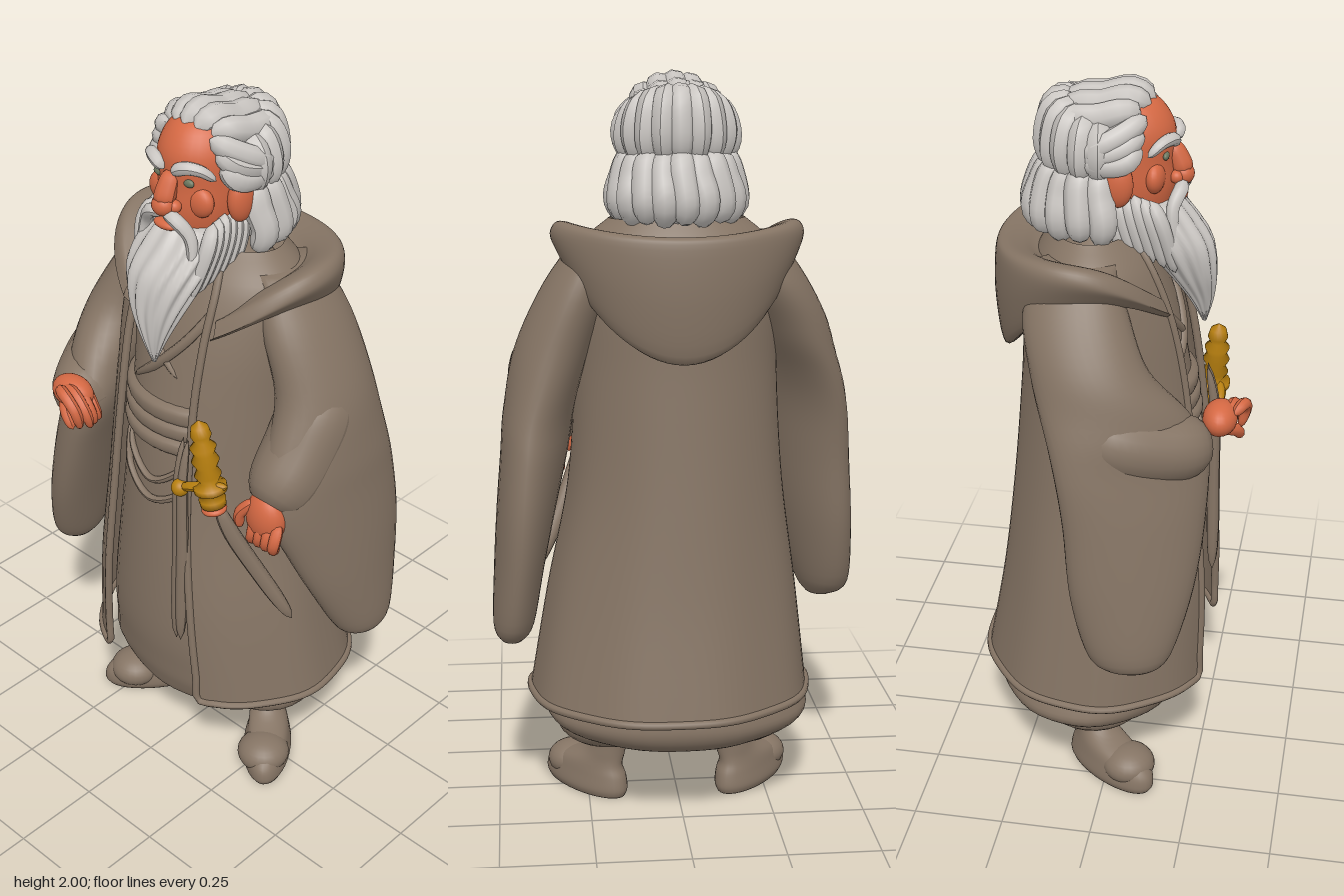
import * as THREE from 'three';

const mat = (name, color, side = THREE.FrontSide) => {
  const m = new THREE.MeshStandardMaterial({ color, side });
  m.name = name;
  return m;
};
const V = (x, y, z) => new THREE.Vector3(x, y, z);

// Smooth interpolation through rows of numbers
function spline(rows, t) {
  const n = rows.length - 1, f = t * n, i = Math.min(Math.floor(f), n - 1), k = f - i;
  const p = j => rows[Math.max(0, Math.min(n, j))];
  return rows[0].map((_, c) => {
    const a = p(i - 1)[c], b = p(i)[c], d = p(i + 1)[c], e = p(i + 2)[c];
    return b + 0.5 * k * (d - a + k * (2 * a - 5 * b + 4 * d - e + k * (3 * (b - d) + e - a)));
  });
}

// Surface from cross-sections: s runs round, t runs upwards
function loft(nu, nv, fn, closed = true) {
  const pos = [], idx = [], w = closed ? nu : nu + 1;
  for (let i = 0; i <= nv; i++) for (let j = 0; j < w; j++) pos.push(...fn(j / nu, i / nv));
  for (let i = 0; i < nv; i++) for (let j = 0; j < nu; j++) {
    const a = i * w + j, b = i * w + (j + 1) % w;
    idx.push(a, b, a + w, b, b + w, a + w);
  }
  if (closed) for (const i of [0, nv]) {
    const c = V(0, 0, 0), m = pos.length / 3;
    for (let j = 0; j < w; j++) c.add(V(...pos.slice((i * w + j) * 3, (i * w + j) * 3 + 3)));
    pos.push(...c.divideScalar(w).toArray());
    for (let j = 0; j < w; j++) {
      const a = i * w + j, b = i * w + (j + 1) % w;
      idx.push(...(i ? [a, b, m] : [b, a, m]));
    }
  }
  const g = new THREE.BufferGeometry();
  g.setAttribute('position', new THREE.Float32BufferAttribute(pos, 3));
  g.setIndex(idx);
  g.computeVertexNormals();
  return g;
}

// Rows are [y, centre x, centre z, radius x, radius z, yaw]
function ovalPoint(rows, a, t, k = 1) {
  const [y, cx, cz, rx, rz, w = 0] = spline(rows, t);
  const lx = rx * k * Math.sin(a), lz = rz * k * Math.cos(a);
  return [cx + lx * Math.cos(w) + lz * Math.sin(w), y, cz - lx * Math.sin(w) + lz * Math.cos(w)];
}
const ovals = (rows, nu = 36, ripple = () => 1) => loft(nu, (rows.length - 1) * 5,
  (s, t) => ovalPoint(rows, s * 2 * Math.PI, t, ripple(s * 2 * Math.PI, t)));

// Rounded strand that narrows towards its end
function strand(pts, r, tip = 0, n = 14, sides = 9) {
  const curve = new THREE.CatmullRomCurve3(pts.map(p => V(...p)));
  const g = new THREE.TubeGeometry(curve, n, 1, sides), p = g.attributes.position, v = V(0, 0, 0);
  for (let i = 0; i <= n; i++) {
    const t = i / n, c = curve.getPointAt(t);
    const k = r * (1 - tip * t) * Math.sqrt(Math.max(0.0004, 1 - (2 * t - 1) ** 4));
    for (let j = 0; j <= sides; j++) {
      const q = i * (sides + 1) + j;
      v.fromBufferAttribute(p, q).sub(c).multiplyScalar(k).add(c);
      p.setXYZ(q, v.x, v.y, v.z);
    }
  }
  g.computeVertexNormals();
  return g;
}

export function createModel() {
  const root = new THREE.Group();
  const cloth = mat('brownCloth', 0x857464), shell = mat('brownCoatCloth', 0x857464, THREE.DoubleSide);
  const skin = mat('skin', 0xd46843), hair = mat('greyHair', 0xc9c5c1);
  const gold = mat('gold', 0xb8800f), iris = mat('eyeGreen', 0x6f7a62);
  const add = (name, geo, m, parent = root) => {
    const o = new THREE.Mesh(geo, m);
    o.name = name;
    parent.add(o);
    return o;
  };
  const ball = (name, m, p, s, parent) => {
    const o = add(name, new THREE.SphereGeometry(1, 24, 16), m, parent);
    o.position.set(...p);
    o.scale.set(...s);
    return o;
  };

  // Inner robe
  const robe = [[0.205, 0, -0.05, 0.2, 0.19], [0.215, 0, -0.06, 0.3, 0.245], [0.26, 0, -0.07, 0.362, 0.275], [0.33, 0, -0.06, 0.345, 0.28],
    [0.5, 0, -0.03, 0.315, 0.265], [0.9, 0, -0.02, 0.25, 0.24], [1.1, 0, -0.02, 0.22, 0.225],
    [1.25, 0, -0.02, 0.22, 0.2], [1.4, 0, -0.03, 0.23, 0.175], [1.55, 0, -0.04, 0.17, 0.13], [1.64, 0, -0.03, 0.08, 0.08]];
  add('innerRobe', ovals(robe, 48, (a, t) => 1 + 0.02 * Math.cos(9 * a) * Math.max(0, 0.4 - t)), cloth);
  const frontZ = (x, y) => {
    let i = 0;
    while (i < robe.length - 2 && robe[i + 1][0] < y) i++;
    const k = (y - robe[i][0]) / (robe[i + 1][0] - robe[i][0]);
    const [, , cz, rx, rz] = robe[i].map((v, c) => v + k * (robe[i + 1][c] - v));
    return cz + rz * Math.sqrt(Math.max(0, 1 - (x / rx) ** 2));
  };
  const onRobe = (pts, off = 0.001) => pts.map(([x, y]) => [x, y, frontZ(x, y) + off]);

  // Crossed lapels, belt and cords
  add('upperLapel', strand(onRobe([[0.13, 1.52], [0.07, 1.4], [-0.02, 1.3], [-0.13, 1.21]]), 0.014), cloth);
  add('lowerLapel', strand(onRobe([[-0.13, 1.52], [-0.09, 1.42], [-0.02, 1.34], [0.05, 1.28]]), 0.012), cloth);
  [1.09, 1.135, 1.18].forEach((y, i) => add('beltBand', ovals([[y - 0.03, 0, -0.02, 0.215, 0.215],
    [y - 0.015, 0, -0.02, 0.235, 0.24 - i * 0.006], [y + 0.015, 0, -0.02, 0.235, 0.24 - i * 0.006],
    [y + 0.03, 0, -0.02, 0.215, 0.205]]), cloth));
  for (const [w, low] of [[0.13, 0.91], [0.11, 0.97]])
    add('beltCordLoop', strand(onRobe([[-w, 1.07], [-w * 0.75, low + 0.05], [0, low], [w * 0.75, low + 0.05], [w, 1.07]], 0.008), 0.01, 0, 24), cloth);
  for (const x of [0.122, 0.138])
    add('hangingCord', strand([[x, 1.16, 0.22], [x, 1.05, 0.24], [x, 0.8, 0.245], [x - 0.006, 0.5, 0.25]], 0.014, -0.4, 20), cloth);

  // Open coat with a rounded edge all round
  const coat = [[0.32, 0.02, -0.045, 0.385, 0.335], [0.6, 0.01, -0.02, 0.345, 0.308], [0.9, 0, -0.015, 0.295, 0.275],
    [1.2, 0, -0.02, 0.275, 0.243], [1.4, 0, -0.035, 0.275, 0.215], [1.54, 0, -0.05, 0.26, 0.17], [1.62, 0, -0.06, 0.18, 0.11]];
  const gap = 0.49;
  const coatPoint = (s, t) => {
    const a = gap + (2 * Math.PI - 2 * gap) * s;
    return ovalPoint(coat, a, t, 1 + 0.014 * Math.cos(9 * a) * Math.max(0, 0.6 - t));
  };
  add('coat', loft(64, 36, coatPoint, false), shell);
  const edge = [];
  for (let i = 16; i > 0; i--) edge.push(coatPoint(0, i / 16));
  for (let i = 0; i <= 40; i++) edge.push(coatPoint(i / 40, 0));
  for (let i = 1; i <= 16; i++) edge.push(coatPoint(1, i / 16));
  add('coatEdge', new THREE.TubeGeometry(new THREE.CatmullRomCurve3(edge.map(p => V(...p))), 200, 0.011, 8), cloth);

  // Hood lying on the shoulders: slopes down to the chest, deepest at the back
  add('hood', loft(64, 35, (s, t) => {
    const a = 0.5 + (2 * Math.PI - 1) * s, b = (1 - Math.cos(a)) / 2, f = (1 - b) ** 5;
    const low = 1.53 - 0.26 * b ** 3 - 0.15 * f, top = 1.615 - 0.03 * b ** 4 - 0.2 * f;
    return ovalPoint([[low + 0.03, 0, -0.06, 0.25, 0.19], [low, 0, -0.07, 0.285, 0.235], [(low + top) / 2 - 0.01, 0, -0.07, 0.32, 0.255],
      [top - 0.025, 0, -0.07, 0.335, 0.25], [top + 0.005, 0, -0.07, 0.315, 0.23], [top - 0.005, 0, -0.06, 0.27, 0.19],
      [1.56 - 0.12 * f, 0, -0.05, 0.2, 0.15], [1.56 - 0.05 * f, 0, -0.03, 0.09, 0.08]], a, t);
  }, false), shell);

  // Wide hanging sleeves
  add('leftSleeve', ovals([[0.5, 0.455, -0.16, 0.03, 0.045, 0], [0.545, 0.45, -0.15, 0.055, 0.1, 0], [0.7, 0.432, -0.12, 0.068, 0.16, 0],
    [0.85, 0.41, -0.09, 0.08, 0.2, -0.05], [1, 0.385, -0.055, 0.09, 0.222, -0.1], [1.12, 0.37, -0.055, 0.095, 0.2, -0.1],
    [1.28, 0.335, -0.08, 0.1, 0.155, 0], [1.45, 0.265, -0.08, 0.09, 0.14, 0], [1.58, 0.2, -0.08, 0.06, 0.1, 0]]), cloth);
  add('rightSleeve', ovals([[0.525, -0.425, 0.11, 0.035, 0.05, 0.2], [0.575, -0.43, 0.1, 0.068, 0.11, 0.3], [0.75, -0.4, 0.1, 0.082, 0.165, 0.4],
    [0.95, -0.36, 0.1, 0.088, 0.195, 0.52], [1.1, -0.33, 0.085, 0.09, 0.212, 0.58], [1.21, -0.325, 0.045, 0.098, 0.19, 0.45],
    [1.33, -0.31, -0.025, 0.1, 0.15, 0.15], [1.46, -0.255, -0.07, 0.09, 0.135, 0], [1.58, -0.2, -0.08, 0.06, 0.1, 0]]), cloth);
  add('leftCuff', strand([[0.35, 1.3, -0.08], [0.352, 1.2, -0.02], [0.35, 1.09, 0.06], [0.345, 1.0, 0.15]], 0.105, 0.1, 18, 20), cloth);
  add('rightCuff', strand([[-0.36, 1.2, -0.05], [-0.345, 1.16, 0.06], [-0.295, 1.13, 0.17], [-0.23, 1.12, 0.275]], 0.1, 0.1, 18, 20), cloth);

  // Hands with curled fingers
  ball('rightPalm', skin, [-0.215, 1.185, 0.295], [0.065, 0.045, 0.045]);
  ball('leftPalm', skin, [0.35, 0.985, 0.15], [0.06, 0.075, 0.045]);
  for (let i = 0; i < 4; i++) {
    const z = 0.35 - i * 0.026, x = 0.32 + i * 0.025, q = Math.abs(i - 1) * 0.012;
    add('rightFinger', strand([[-0.23, 1.2, z * 0.6 + 0.12], [-0.18 - q, 1.215 - i * 0.006, z], [-0.13 - q, 1.18 - i * 0.01, z + 0.004],
      [-0.128 - q, 1.12 - i * 0.004, z - 0.01]], 0.018, 0.2), skin);
    add('leftFinger', strand([[x + 0.005, 0.99, 0.155], [x + 0.01, 0.94, 0.18], [x - 0.005, 0.905, 0.165], [x - 0.015, 0.89, 0.135]], 0.018, 0.2), skin);
  }
  add('rightThumb', strand([[-0.24, 1.17, 0.3], [-0.2, 1.145, 0.335], [-0.165, 1.11, 0.345]], 0.019, 0.2), skin);
  add('leftThumb', strand([[0.325, 1.03, 0.165], [0.29, 0.985, 0.185], [0.285, 0.935, 0.18]], 0.018, 0.2), skin);

  // Sword hilt, guard and scabbard
  const hilt = new THREE.Group();
  hilt.name = 'swordHilt';
  hilt.position.set(0.235, 1.0, 0.225);
  hilt.quaternion.setFromUnitVectors(V(0, 1, 0), V(-0.04, 0.25, 0.015).normalize());
  root.add(hilt);
  const prof = [[0, 0], [0.034, 0.005], [0.036, 0.025], [0.024, 0.036], [0.044, 0.05], [0.044, 0.066], [0.024, 0.076], [0.036, 0.098], [0.026, 0.118],
    [0.037, 0.14], [0.027, 0.16], [0.035, 0.18], [0.02, 0.197], [0.028, 0.215], [0.022, 0.24], [0, 0.258]];
  add('grip', new THREE.LatheGeometry(prof.map(p => new THREE.Vector2(...p)), 20), gold, hilt);
  add('guard', strand([[-0.09, 0.045, 0.025], [-0.03, 0.06, 0.02], [0.05, 0.065, -0.015]], 0.014), gold, hilt);
  ball('guardKnob', gold, [-0.09, 0.042, 0.025], [0.024, 0.024, 0.024], hilt);
  ball('hiltCollar', skin, [0, -0.008, 0], [0.034, 0.015, 0.034], hilt);
  add('scabbard', strand([[0.235, 1.0, 0.215], [0.265, 0.9, 0.185], [0.32, 0.76, 0.13], [0.385, 0.62, 0.075]], 0.024, 0.1, 20), cloth);

  // Trousers and bulbous shoes, toes turned out
  for (const s of [1, -1]) {
    const side = s > 0 ? 'left' : 'right';
    ball(side + 'TrouserLeg', cloth, [s * 0.18 + 0.01, 0.225, -0.05], [0.145, 0.075, 0.15]);
    add(side + 'Shoe', ovals([[0, 0.235, 0.01, 0.062, 0.15, 0.65], [0.02, 0.235, 0.012, 0.07, 0.158, 0.65], [0.055, 0.233, 0.012, 0.066, 0.15, 0.65],
      [0.085, 0.225, 0, 0.058, 0.122, 0.65], [0.12, 0.185, -0.04, 0.05, 0.065, 0.65], [0.17, 0.17, -0.055, 0.046, 0.048, 0.65],
      [0.24, 0.17, -0.06, 0.06, 0.06, 0.65]].map(([y, x, z, a, b, w]) => [y, s * x + 0.017, z, a, b, s * w])), cloth);
    ball(side + 'Toe', cloth, [s * 0.268 + 0.017, 0.055, 0.067], [0.075, 0.052, 0.075]);
  }

  // Head and face
  add('head', ovals([[1.54, 0, -0.01, 0.07, 0.07], [1.62, 0, 0.01, 0.08, 0.095], [1.72, 0, 0.018, 0.104, 0.12], [1.8, 0, 0.015, 0.11, 0.122],
    [1.88, 0, 0.01, 0.108, 0.127], [1.94, 0, 0.0, 0.08, 0.1], [1.97, 0, 0, 0.03, 0.04]]), skin);
  add('noseBridge', strand([[0, 1.84, 0.125], [0, 1.79, 0.15], [0, 1.755, 0.162]], 0.024, -0.3), skin);
  ball('noseTip', skin, [0, 1.757, 0.16], [0.031, 0.028, 0.028]);
  ball('lowerLip', skin, [0, 1.703, 0.152], [0.038, 0.013, 0.02]);
  for (const s of [1, -1]) {
    ball('nostril', skin, [s * 0.024, 1.755, 0.145], [0.018, 0.017, 0.018]);
    ball('cheek', skin, [s * 0.06, 1.765, 0.096], [0.046, 0.042, 0.026]);
    ball('eye', iris, [s * 0.05, 1.818, 0.122], [0.018, 0.011, 0.008]);
    ball('ear', skin, [s * 0.122, 1.762, 0.012], [0.028, 0.06, 0.04]);
    add('eyebrow', strand([[s * 0.014, 1.842, 0.142], [s * 0.05, 1.862, 0.137], [s * 0.085, 1.858, 0.115], [s * 0.108, 1.83, 0.085]], 0.02, 0.4), hair);
    add('moustache', strand([[0, 1.735, 0.158], [s * 0.04, 1.73, 0.16], [s * 0.075, 1.69, 0.145], [s * 0.088, 1.63, 0.15], [s * 0.085, 1.57, 0.17]], 0.023, 0.6, 20), hair);
    for (let i = 0; i < 6; i++)
      add('sideWhisker', strand([[s * 0.104, 1.73 - 0.006 * Math.abs(i - 3), -0.01 + i * 0.02], [s * 0.113, 1.66, 0.0 + i * 0.024],
        [s * (0.115 - i * 0.006), 1.59 - i * 0.014, 0.02 + i * 0.027]], 0.025, 0.4), hair);
  }

  // Beard in long ridged strands
  add('beard', ovals([[1.345, 0.02, 0.22, 0.005, 0.005], [1.42, 0.014, 0.21, 0.04, 0.034], [1.5, 0.005, 0.185, 0.08, 0.064],
    [1.58, 0, 0.145, 0.11, 0.09], [1.65, 0, 0.095, 0.116, 0.092], [1.695, 0, 0.065, 0.098, 0.082]], 90,
  (a, t) => 1 + 0.06 * Math.cos(13 * a + 2 * Math.sin(5 * t))), hair);

  // Hair: base volumes, swept-back crown, wavy sides and back
  ball('hairBase', hair, [0, 1.84, -0.06], [0.138, 0.13, 0.14]);
  ball('crownBase', hair, [0, 1.885, -0.055], [0.1, 0.09, 0.125]);
  ball('napeHair', hair, [0, 1.69, -0.1], [0.14, 0.1, 0.12]);
  for (let i = -2; i <= 2; i++) {
    const d = i * i * 0.007;
    add('crownLock', strand([[i * 0.032, 1.942 - d * 0.6, 0.09 - d], [i * 0.039, 1.962 - d, 0.03], [i * 0.043, 1.945 - d, -0.04],
      [i * 0.043, 1.94 - d, -0.1], [i * 0.037, 1.88, -0.17]], 0.039, 0.1), hair);
  }
  for (const s of [1, -1]) for (let i = 0; i < 3; i++)
    add('templeLock', strand([[s * (0.075 + i * 0.014), 1.925 - i * 0.03, 0.075 - i * 0.008], [s * (0.11 + i * 0.01), 1.895 - i * 0.035, 0.035],
      [s * 0.136, 1.865 - i * 0.025, -0.02], [s * 0.13, 1.83, -0.09]], 0.031), hair);
  const ring = (a, r, rz, y) => [r * Math.sin(a), y, -0.05 + rz * Math.cos(a)];
  for (let i = 0; i < 11; i++) {
    const a = 1.45 + i * (2 * Math.PI - 2.9) / 10, j = (i % 2) * 0.016, h = 0.04 * Math.cos(a);
    add('upperLock', strand([ring(a, 0.06, 0.06, 1.895 - h), ring(a, 0.108, 0.11, 1.89 - h), ring(a, 0.138, 0.14, 1.85 - j), ring(a, 0.125, 0.128, 1.765)], 0.04, 0.25), hair);
    add('lowerLock', strand([ring(a, 0.12, 0.122, 1.8), ring(a, 0.138, 0.152, 1.735 + j), ring(a + 0.06, 0.158, 0.178, 1.67 - j), ring(a, 0.135, 0.145, 1.605 + j)], 0.04, 0.15), hair);
  }
  return root;
}
